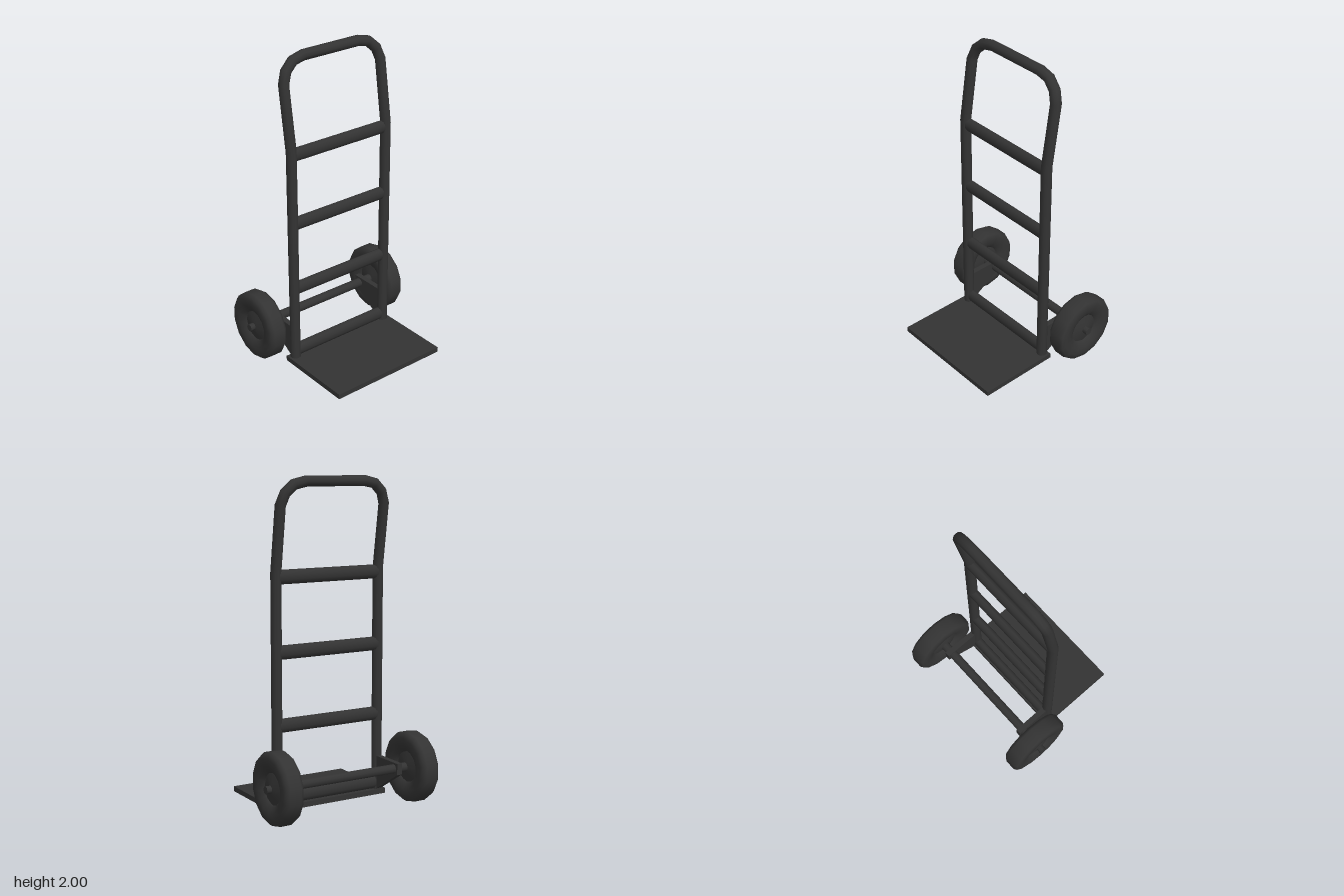
import * as THREE from 'three';
import { toCreasedNormals } from 'three/addons/utils/BufferGeometryUtils.js';

const material = new THREE.MeshStandardMaterial({ color: 0x333333 });

function add(parent, name, geometry, x = 0, y = 0, z = 0) {
  const mesh = new THREE.Mesh(geometry, material);
  mesh.name = name;
  mesh.position.set(x, y, z);
  parent.add(mesh);
  return mesh;
}

// Round tube swept along a polyline, one ring per point
function sweep(points, radius, sides) {
  const pos = [], index = [], last = points.length - 1;
  points.forEach((p, i) => {
    const before = p.clone().sub(points[Math.max(i - 1, 0)]).normalize();
    const after = points[Math.min(i + 1, last)].clone().sub(p).normalize();
    const t = before.add(after).normalize();
    const b = t.clone().cross(new THREE.Vector3(1, 0, 0)).normalize();
    const n = b.clone().cross(t);
    for (let j = 0; j < sides; j++) {
      const a = (j / sides) * Math.PI * 2;
      const v = p.clone().addScaledVector(n, radius * Math.cos(a)).addScaledVector(b, radius * Math.sin(a));
      pos.push(v.x, v.y, v.z);
      if (i < last) {
        const k = (j + 1) % sides, r = i * sides, s = r + sides;
        index.push(r + j, r + k, s + k, r + j, s + k, s + j);
      }
    }
  });
  const g = new THREE.BufferGeometry();
  g.setAttribute('position', new THREE.Float32BufferAttribute(pos, 3));
  g.setIndex(index);
  g.computeVertexNormals();
  return g;
}

// Lathe around the z axis from [radius, offset] pairs
function turned(profile, sides) {
  return new THREE.LatheGeometry(profile.map(([r, a]) => new THREE.Vector2(r, a)), sides).rotateX(Math.PI / 2);
}

export function createModel() {
  const truck = new THREE.Group();
  truck.name = 'handTruck';

  // Bent handle frame: one side, then its mirror image
  const half = [
    [-0.03, 0.03, 0.355], [-0.03, 1.44, 0.355], [-0.088, 1.83, 0.355],
    [-0.1, 1.9, 0.33], [-0.109, 1.95, 0.275], [-0.112, 1.967, 0.2],
  ].map((p) => new THREE.Vector3(...p));
  const mirrored = half.map((p) => new THREE.Vector3(p.x, p.y, -p.z)).reverse();
  add(truck, 'handleFrame', sweep([...half, ...mirrored], 0.033, 10));

  // Flattened cross bars
  for (const y of [0.09, 0.53, 0.97, 1.415]) {
    const bar = new THREE.CylinderGeometry(1, 1, 0.69, 10).rotateX(Math.PI / 2).scale(0.029, 0.043, 1);
    add(truck, 'crossBar', bar, -0.033, y, 0);
  }

  // Toe plate
  add(truck, 'toePlate', new THREE.BoxGeometry(0.525, 0.032, 0.8), 0.198, 0.03, 0);

  // Axle
  const axleX = -0.245, axleY = 0.222;
  add(truck, 'axle', new THREE.CylinderGeometry(0.029, 0.029, 0.9, 10).rotateX(Math.PI / 2), axleX, axleY, 0);
  add(truck, 'axlePin', new THREE.CylinderGeometry(0.024, 0.024, 1.1, 8).rotateX(Math.PI / 2), axleX, axleY, 0);

  // Axle brackets and wheels
  const outline = new THREE.Shape([[-0.285, 0.19], [-0.05, 0.045], [-0.03, 0.045], [-0.03, 0.26], [-0.285, 0.26]]
    .map((p) => new THREE.Vector2(...p)));
  const tyre = turned([
    [0.095, -0.03], [0.105, -0.042], [0.14, -0.06], [0.18, -0.062], [0.207, -0.055], [0.22, -0.035],
    [0.22, 0.035], [0.207, 0.055], [0.18, 0.062], [0.14, 0.06], [0.105, 0.042], [0.095, 0.03],
  ], 14);
  const hub = toCreasedNormals(turned([[0, -0.05], [0.035, -0.048], [0.104, -0.03], [0.104, 0.03], [0.035, 0.048], [0, 0.05]], 8), 0.6);
  for (const side of [1, -1]) {
    const bracket = new THREE.ExtrudeGeometry(outline, { depth: 0.035, bevelEnabled: false });
    add(truck, 'axleBracket', bracket, 0, 0, side * 0.355 - 0.0175);
    const wheel = new THREE.Group();
    wheel.name = side > 0 ? 'leftWheel' : 'rightWheel';
    wheel.position.set(axleX, axleY, side * 0.47);
    add(wheel, 'tyre', tyre);
    add(wheel, 'hub', hub);
    truck.add(wheel);
  }
  return truck;
}
